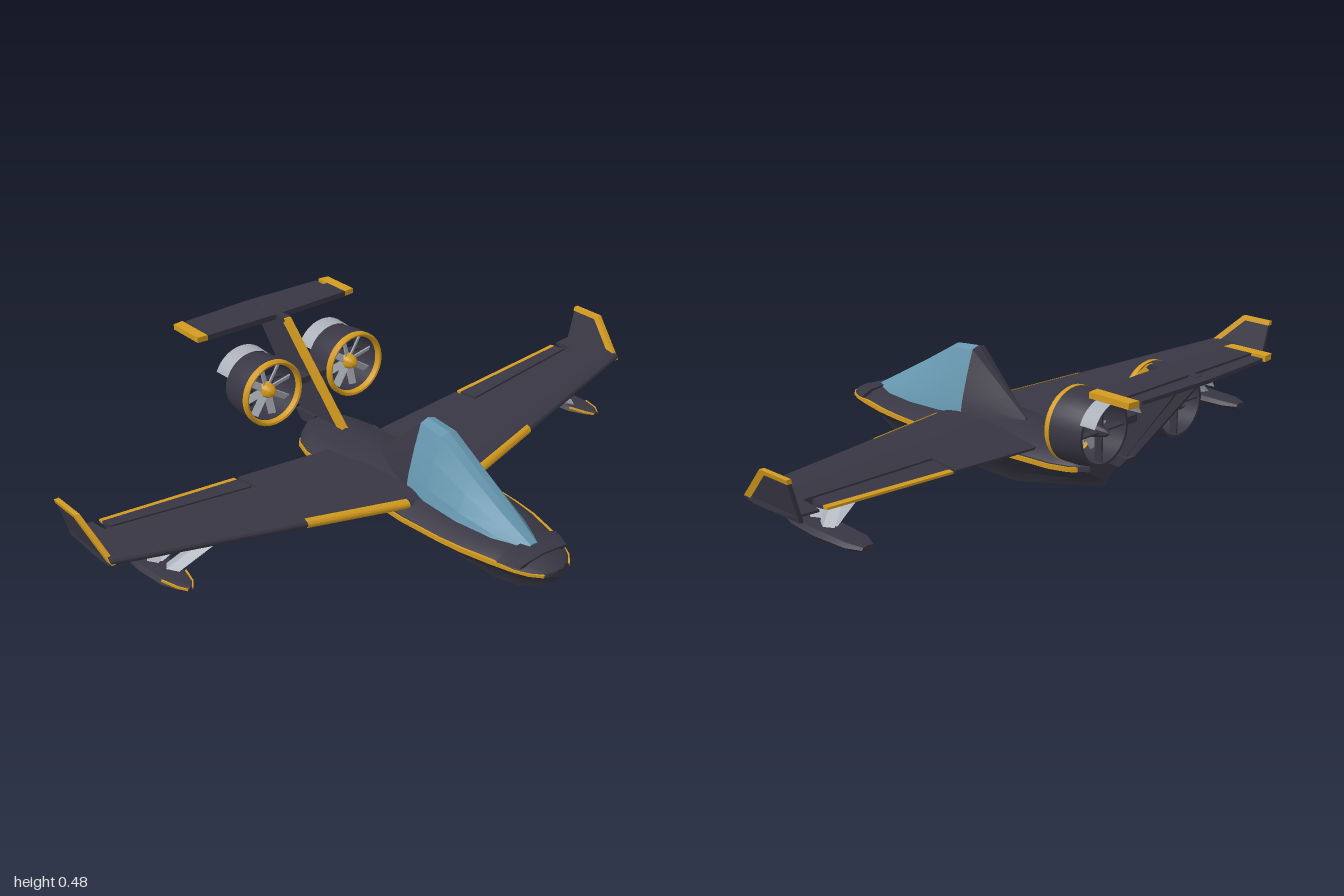
import * as THREE from 'three';
import { toCreasedNormals } from 'three/addons/utils/BufferGeometryUtils.js';

const mat = (name, color, side = THREE.FrontSide) => {
  const m = new THREE.MeshStandardMaterial({ color, side });
  m.name = name;
  return m;
};

// Closed skin through rings of [x, y, z] points, with end caps, always facing outward
function loft(rings, crease = 0.5) {
  const tris = [], n = rings[0].length;
  for (let i = 0; i < rings.length - 1; i++)
    for (let j = 0; j < n; j++) {
      const k = (j + 1) % n, a = rings[i], b = rings[i + 1];
      tris.push([a[j], b[j], b[k]], [a[j], b[k], a[k]]);
    }
  const cap = (ring, flip) => {
    const c = [0, 1, 2].map(d => ring.reduce((s, p) => s + p[d], 0) / n);
    ring.forEach((p, j) => {
      const q = ring[(j + 1) % n];
      tris.push(flip ? [c, q, p] : [c, p, q]);
    });
  };
  cap(rings[0], false);
  cap(rings[rings.length - 1], true);
  const o = new THREE.Vector3(...rings[0][0]);
  let volume = 0;
  for (const t of tris) {
    const [a, b, c] = t.map(p => new THREE.Vector3(...p).sub(o));
    volume += a.dot(b.cross(c));
  }
  if (volume < 0) tris.forEach(t => t.reverse());
  const g = new THREE.BufferGeometry();
  g.setAttribute('position', new THREE.Float32BufferAttribute(tris.flat(2), 3));
  return toCreasedNormals(g, crease);
}

// Flat plates: upright (x, y outline) and level (x, z outline)
const upright = (pts, t, zAt = () => 0) => loft([-t, t].map(d => pts.map(([x, y]) => [x, y, zAt(y) + d])));
const level = (pts, y0, y1) => loft([y0, y1].map(y => pts.map(([x, z]) => [x, y, z])));

// Hull stations: x, half width, keel y, chine y, deck y
const HULL = [
  [-0.355, 0.07, 0.09, 0.15, 0.203], [-0.31, 0.11, 0.078, 0.15, 0.206], [-0.25, 0.13, 0.064, 0.15, 0.208],
  [-0.03, 0.15, 0.012, 0.15, 0.212], [0, 0.155, 0.005, 0.15, 0.212], [0.23, 0.16, 0.005, 0.15, 0.206],
  [0.38, 0.15, 0.005, 0.15, 0.197], [0.46, 0.14, 0.006, 0.15, 0.193], [0.55, 0.118, 0.026, 0.148, 0.187],
  [0.62, 0.096, 0.06, 0.146, 0.178], [0.66, 0.076, 0.088, 0.144, 0.168], [0.69, 0.048, 0.115, 0.142, 0.16],
  [0.70, 0.02, 0.125, 0.14, 0.155]];
const hullAt = x => {
  const i = Math.max(1, HULL.findIndex(r => r[0] >= x)), a = HULL[i - 1], b = HULL[i];
  return a.map((v, k) => v + (b[k] - v) * (x - a[0]) / (b[0] - a[0]));
};
const mirrorRing = (x, half) => [...half.map(([z, y]) => [x, y, z]),
  ...half.slice(1, -1).reverse().map(([z, y]) => [x, y, -z])];
const hullRing = ([x, w, k, c, t]) => mirrorRing(x, [[0, k], [w * 0.1, k + (c - k) * 0.25],
  [w * 0.4, k + (c - k) * 0.55], [w * 0.82, k + (c - k) * 0.8], [w, c], [w * 0.98, c + (t - c) * 0.3],
  [w * 0.66, t - (t - c) * 0.2], [0, t]]);

// Wing planform and aerofoil
const LE = z => 0.23 - 0.25 * (z - 0.125), TE = z => -0.18 - 0.022 * (z - 0.1);
function foil(z, s, xa = LE(z), xb = TE(z), grow = 0) {
  const top = [], bottom = [], f = (z - 0.13) / 0.82;
  const mid = 0.187 + 0.053 * f, half = 0.022 - 0.008 * f;
  for (let i = 0; i <= 8; i++) {
    const x = xa + (xb - xa) * (1 - Math.cos(Math.PI * i / 16));
    const u = Math.min(1, Math.max(0, (LE(z) - x) / (LE(z) - TE(z))));
    const t = half * 2 * (1.4845 * Math.sqrt(u) - 0.63 * u - 1.758 * u ** 2 + 1.4215 * u ** 3 - 0.5075 * u ** 4)
      + 0.003 + grow;
    top.push([x, mid + t, s * z]);
    bottom.unshift([x, mid - t, s * z]);
  }
  return [...top, ...bottom];
}

export function createModel() {
  const dark = mat('charcoal paint', 0x383643), gold = mat('gold trim', 0xd39a1e);
  const glass = mat('blue glass', 0x6596ae), grey = mat('light grey metal', 0xa9afb8, THREE.DoubleSide);
  const model = new THREE.Group();
  model.name = 'seaplane';
  const add = (name, geometry, material, parent = model) => {
    const m = new THREE.Mesh(geometry, material);
    m.name = name;
    parent.add(m);
    return m;
  };
  const group = name => {
    const g = new THREE.Group();
    g.name = name;
    model.add(g);
    return g;
  };

  // Hull, nose collar and canopy
  add('hull', loft(HULL.map(hullRing)), dark);
  add('noseCollar', loft([0.575, 0.6, 0.64].map(x => {
    const [, w, , c, t] = hullAt(x), g = w * 1.05;
    return mirrorRing(x, [[0, c + 0.016], [g, c + 0.016], [g * 0.97, c + 0.024], [g * 0.7, t], [0, t + 0.005]]);
  })), dark);
  // Canopy stations: x, base half width, base y, top half width, top y
  const cabin = ([x, w, b, tw, t]) => mirrorRing(x, [[0, b], [w, b], [w * 0.9, b + (t - b) * 0.22],
    [tw + (w - tw) * 0.45, b + (t - b) * 0.6], [tw, t - (t - b) * 0.04], [0, t]]);
  const bulkhead = [0.16, 0.08, 0.195, 0.026, 0.4];
  add('canopyGlass', loft([bulkhead, [0.25, 0.09, 0.193, 0.028, 0.39], [0.38, 0.087, 0.188, 0.026, 0.313],
    [0.5, 0.068, 0.18, 0.022, 0.244], [0.6, 0.025, 0.172, 0.012, 0.188]].map(cabin), 0.25), glass);
  add('canopyFairing', loft([[-0.04, 0.008, 0.2, 0.003, 0.217], [0.06, 0.052, 0.2, 0.014, 0.308], bulkhead]
    .map(cabin), 0.25), dark);

  for (const s of [1, -1]) {
    const side = s > 0 ? 'left' : 'right'; // +z and -z halves
    const wing = group(side + 'Wing');
    const span = (name, material, z0, z1, a, b, grow) => add(name, loft([z0, z1].map(z =>
      foil(z, s, a && a(z), b && b(z), grow))), material, wing);

    // Chine stripe
    const xs = [-0.33, -0.31, -0.25, -0.03, 0.23, 0.38, 0.46, 0.55, 0.62, 0.66, 0.69];
    add(side + 'ChineStripe', loft(xs.map(x => {
      const [, w, , c] = hullAt(x), h = x > 0.6 ? 0.008 : 0.014;
      return [[x, c, s * (w + 0.003)], [x, c + h, s * (w + 0.003)], [x, c + h, s * (w - 0.006)], [x, c, s * (w - 0.006)]];
    })), gold);

    // Wing panels around the aileron cut-out
    const cut = z => -0.095 - 0.08 * (z - 0.43), hinge = z => cut(z) - 0.009;
    span('innerPanel', dark, 0.08, 0.427);
    span('middlePanel', dark, 0.427, 0.9, LE, cut);
    span('outerPanel', dark, 0.9, 0.97);
    span('aileron', dark, 0.438, 0.877, hinge, z => TE(z) + 0.014);
    span('aileronTrim', gold, 0.438, 0.877, z => TE(z) + 0.014, z => TE(z) - 0.003);
    span('leadingEdgeTrim', gold, 0.125, 0.43, z => LE(z) + 0.002, z => LE(z) - 0.016, 0.0015);

    // Canted winglet with gold edges
    const lean = y => s * (0.962 + (y - 0.235) * 0.28);
    add('winglet', upright([[0.015, 0.24], [-0.1, 0.342], [-0.2, 0.342], [-0.2, 0.222], [-0.05, 0.222]], 0.006, lean), dark, wing);
    add('wingletTopTrim', upright([[-0.095, 0.347], [-0.203, 0.347], [-0.203, 0.334], [-0.1, 0.334]], 0.0075, lean), gold, wing);
    add('wingletFrontTrim', upright([[0.022, 0.236], [-0.095, 0.347], [-0.108, 0.334], [-0.005, 0.236]], 0.0075, lean), gold, wing);

    // Wing float: x, half width, bottom y, top y
    const float = group(side + 'Float'), zf = s * 0.787;
    const stations = [[-0.245, 0.022, 0.1, 0.12], [-0.2, 0.042, 0.092, 0.125], [-0.08, 0.048, 0.084, 0.128],
      [0.02, 0.042, 0.09, 0.13], [0.075, 0.026, 0.103, 0.13], [0.1, 0.007, 0.117, 0.127]];
    add('floatBody', loft(stations.map(([x, w, b, t]) => mirrorRing(x, [[0, b], [w * 0.6, b + (t - b) * 0.25],
      [w, b + (t - b) * 0.65], [w * 0.8, t], [0, t + 0.003]]).map(([a, y, z]) => [a, y, z + zf]))), dark, float);
    for (const e of [1, -1])
      add('floatTrim', loft(stations.slice(3).map(([x, w, , t]) => [[0, 0], [0, -0.006], [-0.005, -0.006], [-0.005, 0]]
        .map(([dz, dy]) => [x, t + dy, zf + e * (w * 0.9 + 0.003 + dz)]))), gold, float);

    // Float struts
    const strut = (p, q, w, t) => add('strut', loft([p, q].map(([x, y, z]) =>
      [[-w, 0], [0, t], [w, 0], [0, -t]].map(([dx, dz]) => [x + dx, y + dz * 0.6, s * (z + dz)]))), grey, float);
    strut([-0.085, 0.122, 0.795], [-0.065, 0.215, 0.73], 0.03, 0.011);
    strut([-0.015, 0.122, 0.785], [0.025, 0.203, 0.65], 0.03, 0.011);
    strut([-0.085, 0.122, 0.79], [-0.06, 0.203, 0.65], 0.027, 0.01);

    // Ducted fan, built along its own axis pointing forward
    const fan = group(side + 'DuctedFan');
    fan.position.set(-0.42, 0.325, s * 0.16);
    fan.rotation.z = -Math.PI / 2;
    const lathe = pts => toCreasedNormals(new THREE.LatheGeometry(pts.map(p => new THREE.Vector2(...p)), 32), 0.6);
    add('duct', lathe([[0.088, -0.065], [0.096, -0.065], [0.105, -0.01], [0.106, 0.042], [0.092, 0.042],
      [0.09, 0], [0.088, -0.065]]), dark, fan);
    add('ductLip', lathe([[0.092, 0.04], [0.107, 0.04], [0.107, 0.053], [0.102, 0.06], [0.096, 0.058],
      [0.091, 0.045], [0.092, 0.04]]), gold, fan);
    add('spinner', lathe([[0, 0.01], [0.025, 0.01], [0.023, 0.03], [0.014, 0.047], [0, 0.055]]), gold, fan);
    add('hubBody', lathe([[0, -0.085], [0.012, -0.07], [0.022, -0.03], [0.024, 0.01], [0, 0.01]]), dark, fan);
    for (let i = 0; i < 8; i++) {
      const arm = new THREE.Group();
      arm.name = 'bladeArm';
      arm.rotation.y = i * Math.PI / 4 + 0.2;
      fan.add(arm);
      const blade = add('blade', new THREE.BoxGeometry(0.068, 0.004, 0.024), grey, arm);
      blade.position.set(0.055, 0.015, 0);
      blade.rotation.x = 0.6;
    }
    add('statorVane', new THREE.BoxGeometry(0.18, 0.025, 0.005), dark, fan).position.y = -0.045;
    add('statorVane', new THREE.BoxGeometry(0.005, 0.025, 0.18), dark, fan).position.y = -0.045;
    const arc = 2.3;
    add('exhaustDeflector', new THREE.CylinderGeometry(0.1, 0.103, 0.055, 24, 1, true, 1.5 * Math.PI - arc / 2, arc),
      grey, fan).position.y = -0.085;
    add(side + 'FanPylon', new THREE.BoxGeometry(0.09, 0.022, 0.07), dark).position.set(-0.425, 0.325, s * 0.034);

    // Tailplane tip
    add(side + 'TailplaneTip', level([[-0.55, s * 0.267], [-0.553, s * 0.302], [-0.685, s * 0.302], [-0.69, s * 0.267]],
      0.471, 0.488), gold);
  }

  // Fin, rudder and tail block
  add('fin', upright([[-0.23, 0.195], [-0.51, 0.478], [-0.64, 0.478], [-0.43, 0.195]], 0.009), dark);
  add('finLeadingTrim', upright([[-0.215, 0.2], [-0.5, 0.485], [-0.525, 0.485], [-0.245, 0.2]], 0.0115), gold);
  add('rudder', upright([[-0.437, 0.205], [-0.628, 0.455], [-0.663, 0.455], [-0.462, 0.208]], 0.007), dark);
  add('tailBlock', upright([[-0.35, 0.17], [-0.42, 0.17], [-0.448, 0.2], [-0.35, 0.206]], 0.02), dark);

  // Tailplane and elevator
  add('tailplane', level([[-0.55, -0.267], [-0.545, 0], [-0.55, 0.267], [-0.643, 0.267], [-0.643, -0.267]], 0.47, 0.487), dark);
  add('elevator', level([[-0.649, -0.255], [-0.649, 0.255], [-0.69, 0.255], [-0.7, 0], [-0.69, -0.255]], 0.473, 0.484), dark);
  add('finCap', upright([[-0.5, 0.477], [-0.51, 0.487], [-0.67, 0.487], [-0.65, 0.465], [-0.52, 0.465]], 0.012), dark);
  return model;
}
